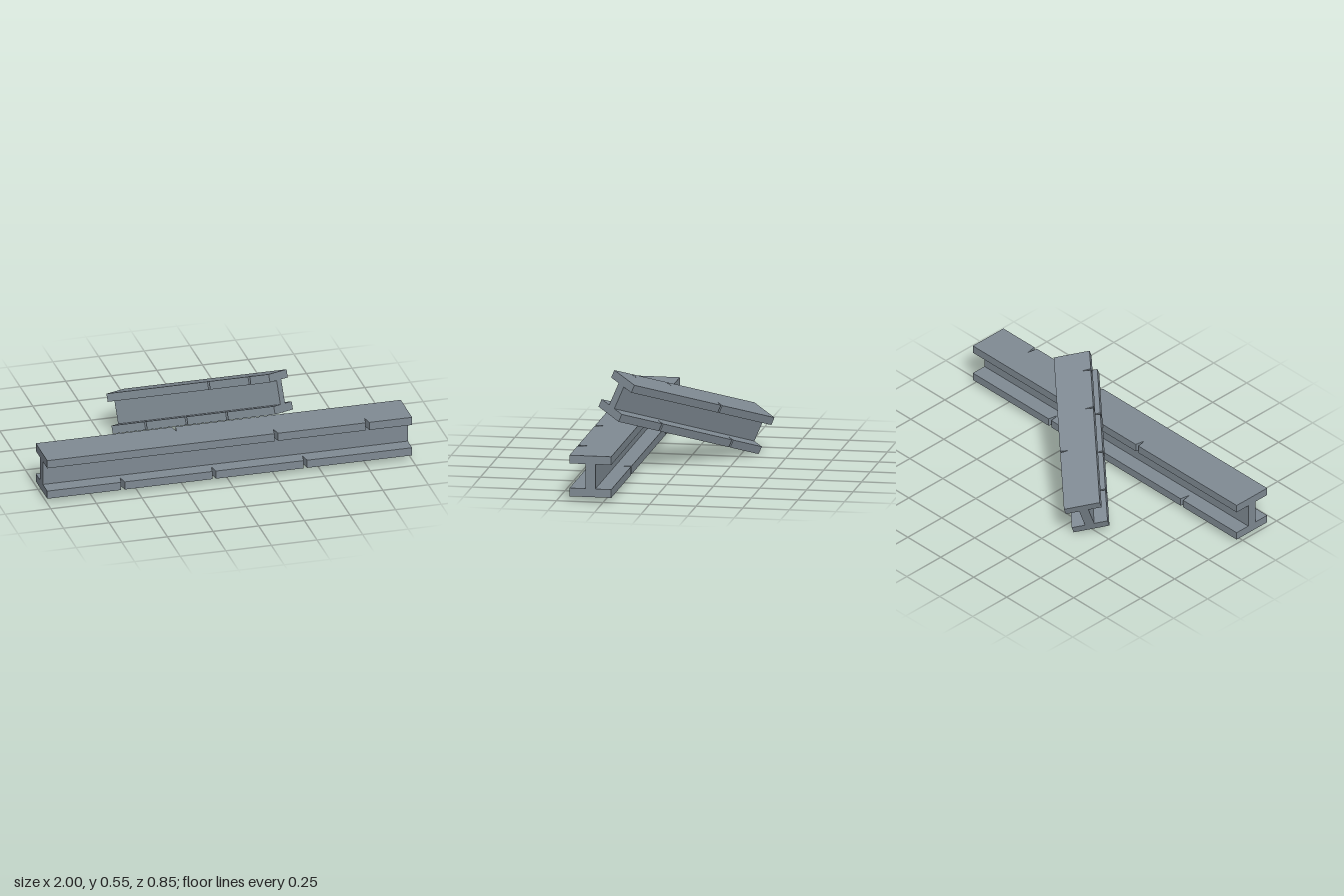
import * as THREE from 'three';

const steel = new THREE.MeshStandardMaterial({ color: 0x7f8a93 });
steel.name = 'weathered steel';

// Flat flange plate with narrow V-shaped cracks cut into its long edges
function flange(name, length, width, thick, frontCracks, backCracks) {
  const hl = length / 2, hw = width / 2;
  const half = 0.005 * length, depth = 0.25 * width;
  const shape = new THREE.Shape();
  shape.moveTo(-hl, -hw);
  for (const c of frontCracks) {
    const x = c * length;
    shape.lineTo(x - half, -hw);
    shape.lineTo(x, -hw + depth);
    shape.lineTo(x + half, -hw);
  }
  shape.lineTo(hl, -hw);
  shape.lineTo(hl, hw);
  for (const c of backCracks) {
    const x = c * length;
    shape.lineTo(x + half, hw);
    shape.lineTo(x, hw - depth);
    shape.lineTo(x - half, hw);
  }
  shape.lineTo(-hl, hw);
  shape.closePath();
  const geo = new THREE.ExtrudeGeometry(shape, { depth: thick, bevelEnabled: false });
  geo.translate(0, 0, -thick / 2).rotateX(-Math.PI / 2);
  const mesh = new THREE.Mesh(geo, steel);
  mesh.name = name;
  return mesh;
}

// I-beam lying along x, centred on its own origin
function iBeam(name, length, width, height, thick, webThick) {
  const beam = new THREE.Group();
  beam.name = name;
  const top = flange('topFlange', length, width, thick, [0.1275, 0.3775], [-0.1225]);
  top.position.y = (height - thick) / 2;
  const bottom = flange('bottomFlange', length, width, thick,
    [-0.2925, -0.0425, 0.2075], [0.2075, -0.2925]);
  bottom.position.y = -(height - thick) / 2;
  const web = new THREE.Mesh(
    new THREE.BoxGeometry(length, height - 2 * thick, webThick), steel);
  web.name = 'web';
  beam.add(top, bottom, web);
  return beam;
}

export function createModel() {
  const model = new THREE.Group();
  model.name = 'steelBeams';

  // Long beam lying flat
  const longBeam = iBeam('longBeam', 2, 0.224, 0.222, 0.0445, 0.053);
  longBeam.position.set(0, 0.139, 0.318);

  // Short beam leaning across the long one
  const shortBeam = iBeam('leaningBeam', 0.995, 0.195, 0.215, 0.0435, 0.05);
  const along = new THREE.Vector3(0.7165, 0.304, 0.62).normalize();
  const side = new THREE.Vector3(-0.134, 0.048, 0.133);
  const up = new THREE.Vector3().crossVectors(side, along).normalize();
  side.crossVectors(along, up);
  shortBeam.quaternion.setFromRotationMatrix(new THREE.Matrix4().makeBasis(along, up, side));
  shortBeam.position.set(-0.043, 0.276, -0.006);

  model.add(longBeam, shortBeam);
  return model;
}
